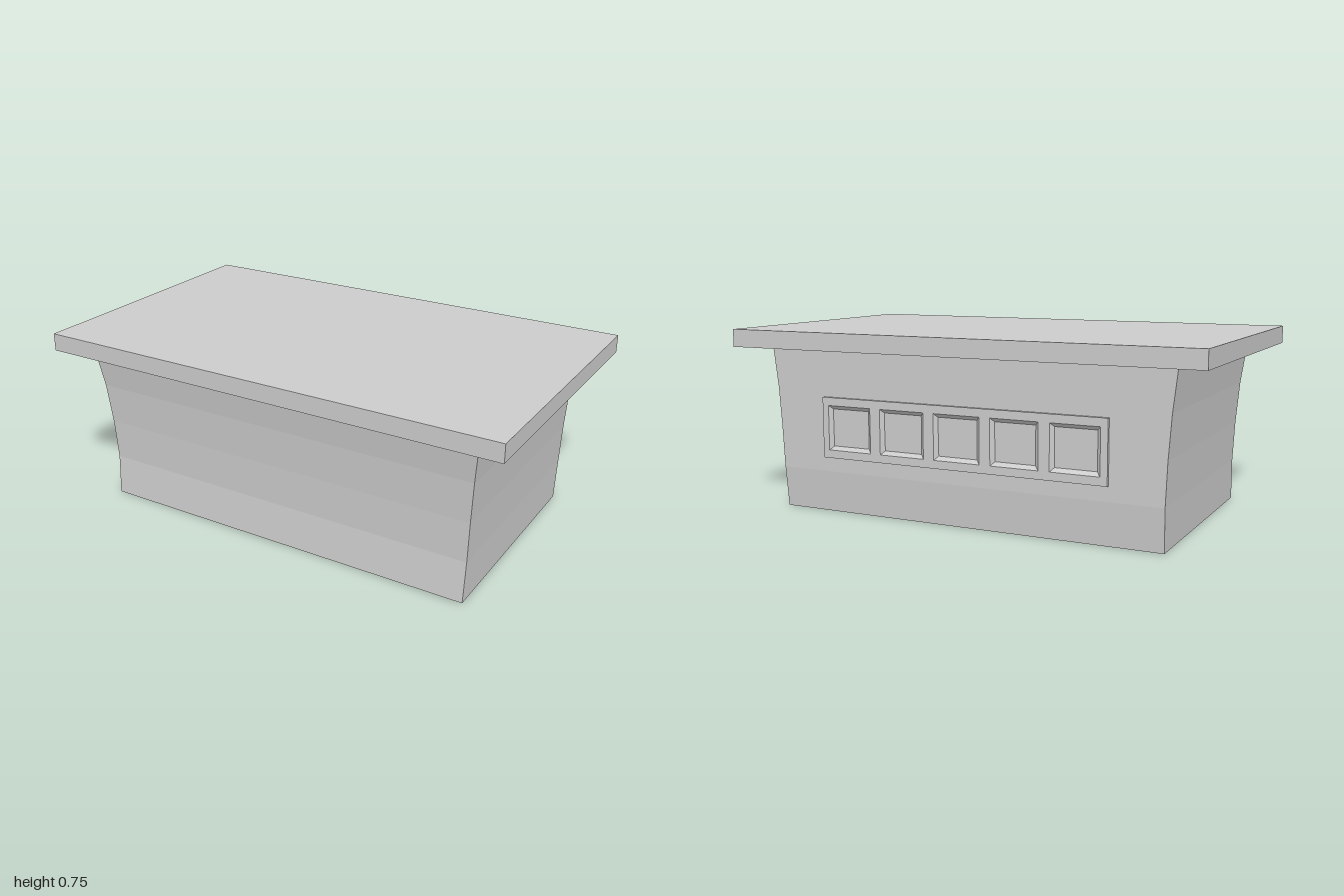
import * as THREE from 'three';
import { mergeGeometries } from 'three/addons/utils/BufferGeometryUtils.js';

const material = new THREE.MeshStandardMaterial({ color: 0xcccccc, flatShading: true, side: THREE.DoubleSide });

function part(name, geometry) {
  const mesh = new THREE.Mesh(geometry, material);
  mesh.name = name;
  return mesh;
}

// Flat-faced skin through a list of closed loops of [x, y, z] corners
function loft(loops) {
  const positions = [];
  for (let k = 0; k < loops.length - 1; k++) {
    const a = loops[k], b = loops[k + 1];
    for (let i = 0; i < a.length; i++) {
      const j = (i + 1) % a.length;
      positions.push(...a[i], ...a[j], ...b[j], ...a[i], ...b[j], ...b[i]);
    }
  }
  const geometry = new THREE.BufferGeometry();
  geometry.setAttribute('position', new THREE.Float32BufferAttribute(positions, 3));
  geometry.computeVertexNormals();
  return geometry;
}

// Counter-clockwise rectangle about (cx, 0) with half sizes hw and hh
function rect(cx, hw, hh, z) {
  return [[cx - hw, -hh, z], [cx + hw, -hh, z], [cx + hw, hh, z], [cx - hw, hh, z]];
}

// Raised frame with five sloped recesses, built facing +z
function frameGeometry() {
  const halfW = 0.62, halfH = 0.125, depth = 0.014;
  const pitch = 0.246, openW = 0.1, openH = 0.092, bevel = 0.016;
  const flat = (corners) => corners.map(([x, y]) => new THREE.Vector2(x, y));

  const face = new THREE.Shape(flat(rect(0, halfW, halfH, 0)));
  const pieces = [loft([rect(0, halfW, halfH, 0), rect(0, halfW, halfH, depth)])];
  for (let i = -2; i <= 2; i++) {
    const opening = rect(i * pitch, openW, openH, depth);
    face.holes.push(new THREE.Path(flat(opening).reverse()));
    pieces.push(loft([opening, rect(i * pitch, openW - bevel, openH - bevel, 0)]));
  }
  const front = new THREE.ShapeGeometry(face).toNonIndexed();
  front.deleteAttribute('uv');
  front.translate(0, 0, depth);
  pieces.push(front);
  return mergeGeometries(pieces);
}

export function createModel() {
  const group = new THREE.Group();
  group.name = 'counter';

  // Flared body, hollow and open underneath: [y, half width, front z, back z]
  const sections = [
    [0, 0.83, 0.469, -0.482],
    [0.17, 0.833, 0.456, -0.496],
    [0.34, 0.84, 0.462, -0.498],
    [0.51, 0.852, 0.476, -0.498],
    [0.68, 0.872, 0.502, -0.5],
  ];
  group.add(part('body', loft(sections.map(([y, x, front, back]) =>
    [[x, y, front], [x, y, back], [-x, y, back], [-x, y, front]]))));

  // Overhanging slab top
  const top = part('top', new THREE.BoxGeometry(2, 0.073, 1.19));
  top.position.y = 0.7135;
  group.add(top);

  // Row of recessed panels on the back
  const frame = part('backPanelFrame', frameGeometry());
  frame.rotation.y = Math.PI;
  frame.position.set(0, 0.355, -0.497);
  group.add(frame);

  return group;
}
